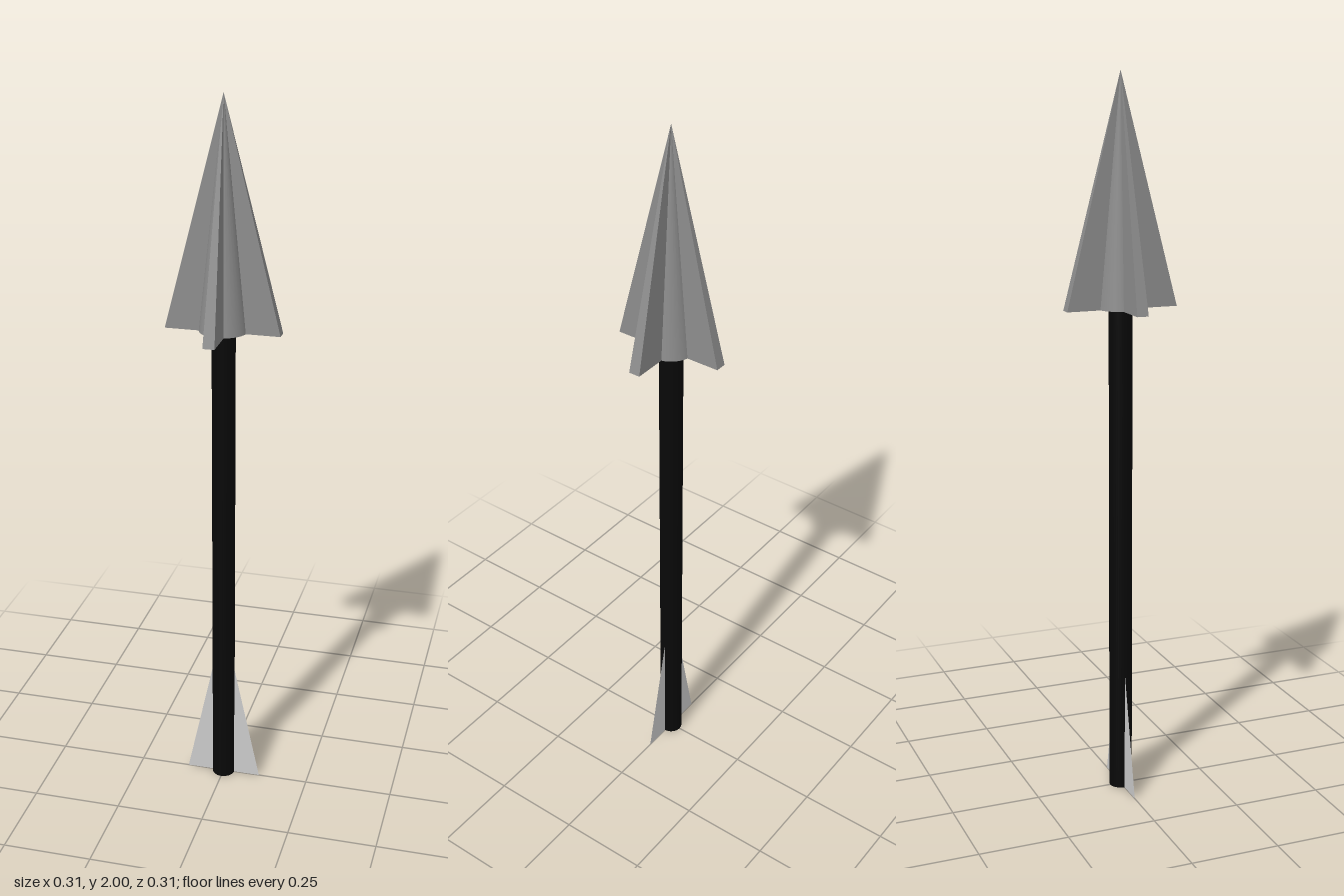
import * as THREE from 'three';

export function createModel() {
  const group = new THREE.Group();
  const steel = new THREE.MeshStandardMaterial({ color: 0x8c8c8c });
  const steelFlat = new THREE.MeshStandardMaterial({ color: 0x8c8c8c, flatShading: true });
  const black = new THREE.MeshStandardMaterial({ color: 0x080808 });
  const pale = new THREE.MeshStandardMaterial({ color: 0xcccccc, side: THREE.DoubleSide });

  const add = (name, geometry, material) => {
    const mesh = new THREE.Mesh(geometry, material);
    mesh.name = name;
    group.add(mesh);
    return mesh;
  };

  const headBase = 1.38, headHeight = 0.62;
  const headMid = headBase + headHeight / 2;

  // Shaft
  add('shaft', new THREE.CylinderGeometry(0.032, 0.032, headBase, 32), black).position.y = headBase / 2;

  // Arrowhead core
  add('headCone', new THREE.ConeGeometry(0.066, headHeight, 32), steel).position.y = headMid;

  // Two crossed flat pyramids give the four blades
  for (let i = 0; i < 2; i++) {
    const blade = new THREE.ConeGeometry(Math.SQRT2, headHeight, 4)
      .rotateY(Math.PI / 4)
      .scale(0.157, 1, 0.016)
      .rotateY(i * Math.PI / 2);
    add('headBlades' + (i + 1), blade, steelFlat).position.y = headMid;
  }

  // Thin tail fins, one on each side of the shaft
  for (const side of [1, -1]) {
    const fin = new THREE.Shape([
      new THREE.Vector2(0, 0),
      new THREE.Vector2(side * 0.108, 0),
      new THREE.Vector2(0, 0.5),
    ]);
    add(side > 0 ? 'leftFin' : 'rightFin', new THREE.ShapeGeometry(fin), pale);
  }

  return group;
}
